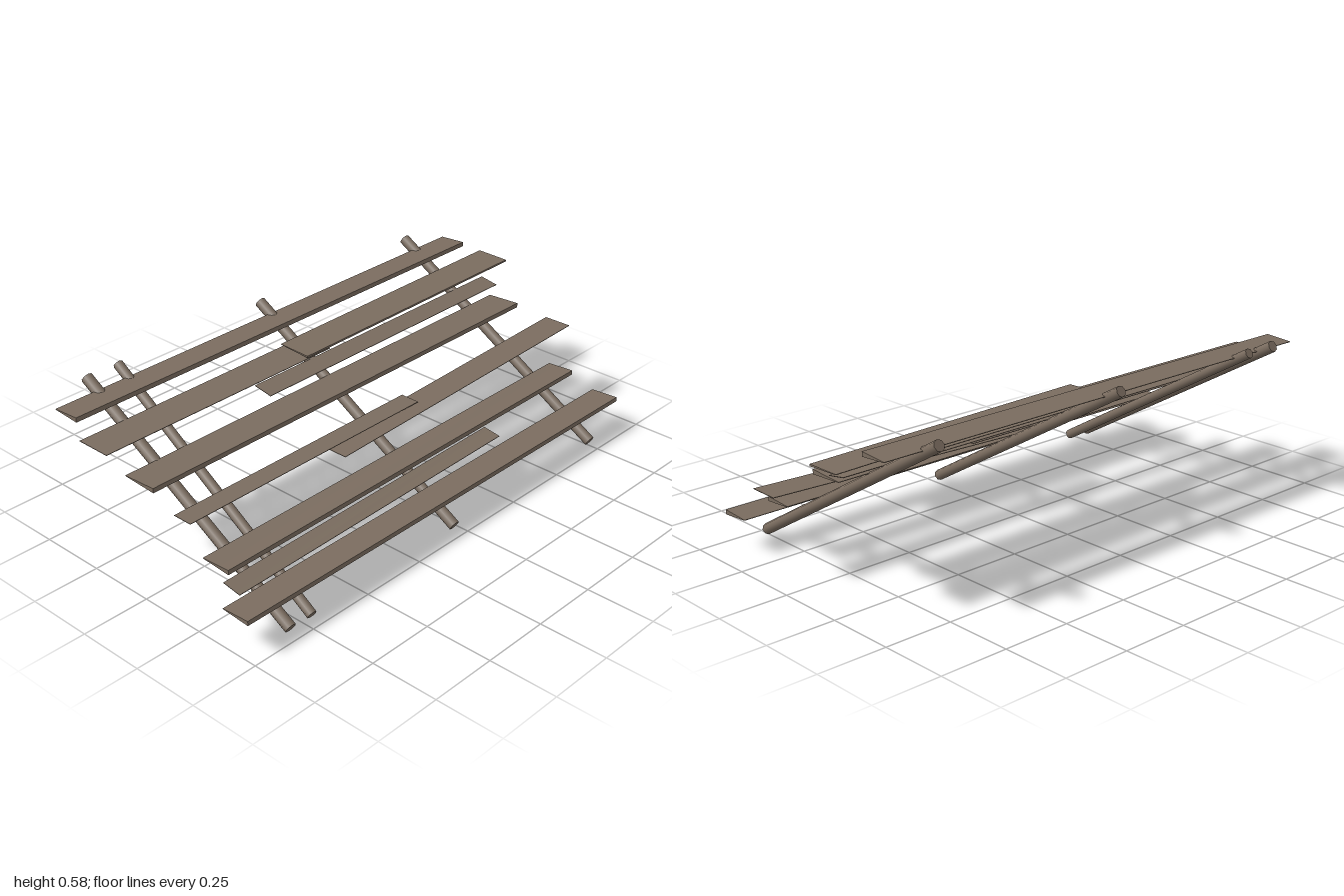
import * as THREE from 'three';

const wood = new THREE.MeshStandardMaterial({ color: 0x7a6c5f });
wood.name = 'weatheredWood';

// A plank between a left and a right end, each given as [x, zFront, zBack, yFront, yBack];
// it tapers from thickness tFront at its front edge to tBack at its back edge.
function plank(name, left, right, tFront, tBack) {
  const geometry = new THREE.BoxGeometry(1, 1, 1);
  const p = geometry.attributes.position;
  for (let i = 0; i < p.count; i++) {
    const end = p.getX(i) < 0 ? left : right;
    const front = p.getZ(i) > 0;
    const y = (front ? end[3] : end[4]) + p.getY(i) * (front ? tFront : tBack);
    p.setXYZ(i, end[0], y, front ? end[1] : end[2]);
  }
  geometry.computeVertexNormals();
  const mesh = new THREE.Mesh(geometry, wood);
  mesh.name = name;
  return mesh;
}

// A round pole running up the slope from front to back
function pole(name, xBottom, xTop, radius) {
  const a = new THREE.Vector3(xBottom, 0.0215, 0.4625);
  const b = new THREE.Vector3(xTop, 0.5625, -0.4625);
  const mesh = new THREE.Mesh(new THREE.CylinderGeometry(radius, radius, a.distanceTo(b), 8), wood);
  mesh.position.copy(a).lerp(b, 0.5);
  mesh.quaternion.setFromUnitVectors(new THREE.Vector3(0, 1, 0), b.sub(a).normalize());
  mesh.name = name;
  return mesh;
}

export function createModel() {
  const model = new THREE.Group();
  model.name = 'slopedPlankRoof';

  // Poles, one of them leaning
  [[-0.812, -0.812, 0.021], [-0.718, -0.681, 0.018], [-0.027, -0.027, 0.02], [0.75, 0.75, 0.02]]
    .forEach(([x0, x1, r], i) => model.add(pole('pole' + (i + 1), x0, x1, r)));

  // Long wedge-shaped boards
  [
    [[-0.985, 0.458, 0.348, 0.13, 0.131], [0.915, 0.458, 0.348, 0.13, 0.131]],
    [[-0.92, 0.308, 0.193, 0.21, 0.211], [0.853, 0.293, 0.186, 0.208, 0.209]],
    [[-0.945, 0.005, -0.128, 0.386, 0.386], [0.875, 0.005, -0.128, 0.386, 0.386]],
    [[-0.985, -0.303, -0.408, 0.535, 0.535], [0.915, -0.303, -0.408, 0.535, 0.535]],
  ].forEach(([l, r], i) => model.add(plank('longBoard' + (i + 1), l, r, 0.017, 0.002)));

  // Thin loose boards
  [
    [[-0.93, 0.366, 0.294, 0.16, 0.172], [0.33, 0.364, 0.296, 0.182, 0.192]],
    [[-0.905, 0.125, 0.05, 0.297, 0.297], [0.165, 0.125, 0.05, 0.297, 0.297]],
    [[-0.255, 0.17, 0.06, 0.273, 0.273], [0.99, 0.17, 0.06, 0.313, 0.312]],
    [[-0.31, -0.125, -0.2, 0.417, 0.43], [0.91, -0.127, -0.2, 0.418, 0.43]],
    [[-1, -0.143, -0.275, 0.477, 0.477], [0, -0.143, -0.275, 0.477, 0.477]],
  ].forEach(([l, r], i) => model.add(plank('thinBoard' + (i + 1), l, r, 0.002, 0.002)));

  // Skewed overlapping board near the top
  model.add(plank('skewedBoard', [-0.12, -0.135, -0.265, 0.49, 0.495], [1, -0.155, -0.286, 0.482, 0.486], 0.007, 0.002));

  return model;
}
